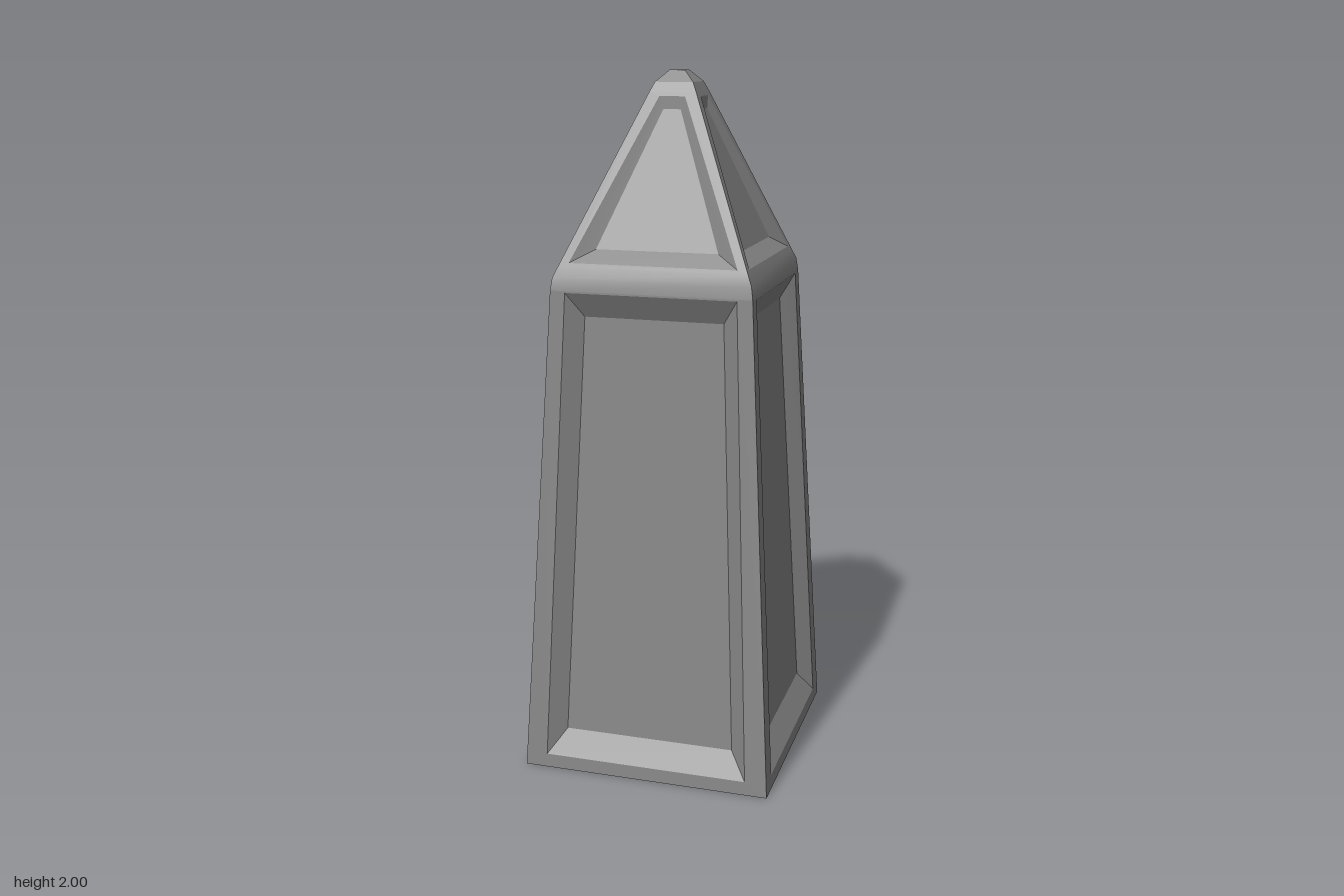
import * as THREE from 'three';
import { toCreasedNormals } from 'three/addons/utils/BufferGeometryUtils.js';

// Outline of the four-sided shell: [half width, height]
const PROFILE = [
  [0.365, 0], [0.288, 1.41], [0.283, 1.445], [0.27, 1.475],
  [0.068, 1.94], [0.055, 1.968], [0.022, 2.0],
];

function halfWidth(y) {
  for (let i = 1; i < PROFILE.length; i++) {
    const [w0, y0] = PROFILE[i - 1], [w1, y1] = PROFILE[i];
    if (y <= y1) return w0 + (w1 - w0) * (y - y0) / (y1 - y0);
  }
  return PROFILE[PROFILE.length - 1][0];
}

// Trapezoid on the front face, counter-clockwise, sunk at its bottom and top edges
function trapezoid(bottomX, bottomY, topX, topY, bottomDepth = 0, topDepth = bottomDepth) {
  const zBottom = halfWidth(bottomY) - bottomDepth;
  const zTop = halfWidth(topY) - topDepth;
  return [
    [-bottomX, bottomY, zBottom], [bottomX, bottomY, zBottom],
    [topX, topY, zTop], [-topX, topY, zTop],
  ];
}

function addQuad(out, a, b, c, d) {
  out.push(...a, ...b, ...c, ...a, ...c, ...d);
}

// Bands between nested trapezoids, closed by the innermost one
function recessedPanel(loops) {
  const out = [];
  for (let l = 0; l < loops.length - 1; l++) {
    const o = loops[l], n = loops[l + 1];
    for (let i = 0; i < 4; i++) {
      const j = (i + 1) % 4;
      addQuad(out, o[i], o[j], n[j], n[i]);
    }
  }
  addQuad(out, ...loops[loops.length - 1]);
  return out;
}

// Plain sloping faces between successive heights
function bands(heights) {
  const out = [];
  for (let i = 1; i < heights.length; i++) {
    const lo = heights[i - 1], hi = heights[i];
    addQuad(out, ...trapezoid(halfWidth(lo), lo, halfWidth(hi), hi));
  }
  return out;
}

// Repeats a front face around all four sides
function fourSided(name, face, material, crease) {
  const all = [], v = new THREE.Vector3(), up = new THREE.Vector3(0, 1, 0);
  for (let side = 0; side < 4; side++) {
    for (let i = 0; i < face.length; i += 3) {
      v.fromArray(face, i).applyAxisAngle(up, side * Math.PI / 2);
      all.push(v.x, v.y, v.z);
    }
  }
  const geometry = new THREE.BufferGeometry();
  geometry.setAttribute('position', new THREE.Float32BufferAttribute(all, 3));
  geometry.computeVertexNormals();
  const mesh = new THREE.Mesh(toCreasedNormals(geometry, crease), material);
  mesh.name = name;
  return mesh;
}

export function createModel() {
  const group = new THREE.Group();
  group.name = 'obelisk';
  const stone = new THREE.MeshStandardMaterial({ color: 0x888888, side: THREE.DoubleSide });

  // Tapering shaft, open below, with a sunken panel on each side
  const shaft = recessedPanel([
    trapezoid(0.365, 0, 0.288, 1.41),
    trapezoid(0.30, 0.04, 0.245, 1.405),
    trapezoid(0.25, 0.11, 0.20, 1.335, 0.04),
  ]);
  group.add(fourSided('shaft', shaft, stone, 0.1));

  // Softly turned edge between shaft and point
  group.add(fourSided('shoulder', bands([1.41, 1.445, 1.475]), stone, 0.35));

  // Pyramid with a panel on each side that grows shallower upwards
  const point = recessedPanel([
    trapezoid(0.27, 1.475, 0.068, 1.94),
    trapezoid(0.24, 1.485, 0.037, 1.93),
    trapezoid(0.175, 1.52, 0.025, 1.895, 0.028, 0.014),
  ]);
  group.add(fourSided('pyramid', point, stone, 0.1));

  // Blunted tip
  group.add(fourSided('tip', bands([1.94, 1.968, 2.0]), stone, 0.1));
  const top = new THREE.Mesh(new THREE.PlaneGeometry(0.044, 0.044), stone);
  top.rotation.x = -Math.PI / 2;
  top.position.y = 2;
  top.name = 'tipTop';
  group.add(top);

  return group;
}
